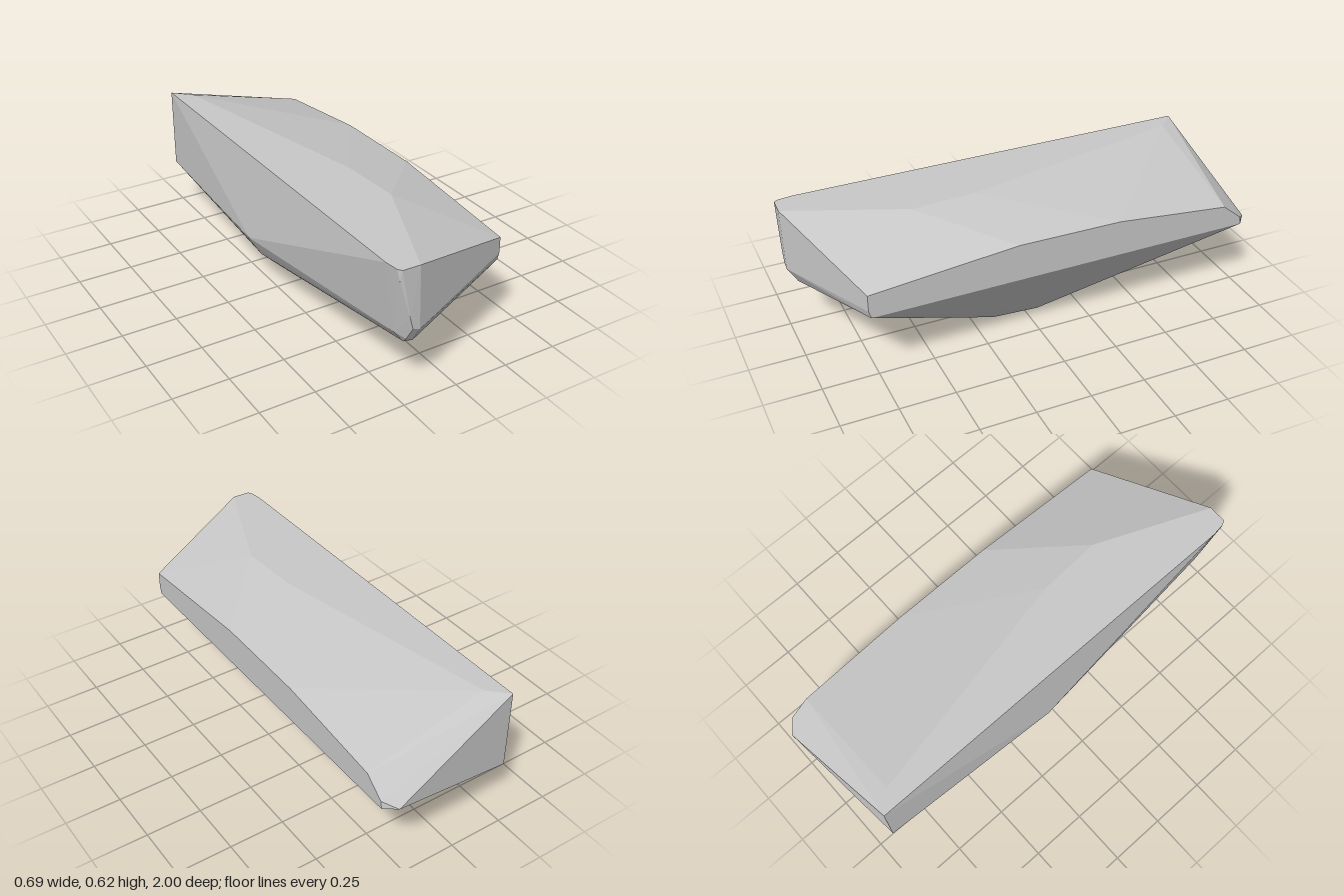
import * as THREE from 'three';
import { ConvexGeometry } from 'three/addons/geometries/ConvexGeometry.js';

export function createModel() {
  const group = new THREE.Group();
  group.name = 'rock';
  const stone = new THREE.MeshStandardMaterial({ color: 0xc8c8c8 });
  stone.name = 'pale grey stone';

  // Corners of the chiselled slab, grouped by the side they bound
  const top = [
    [-0.3, 0.62, -0.94], [-0.22, 0.62, -0.86], [0, 0.62, 0.2],
    [0.015, 0.62, 0.49], [-0.2, 0.62, 1], [-0.28, 0.62, 0.998],
    [-0.292, 0.62, 0.98], [-0.3, 0.62, 0.92],
  ];
  const cutSide = [
    [0.342, 0.475, 0.8], [0.342, 0.537, 0.14], [0.342, 0.532, -0.33],
    [0.342, 0.475, -0.86], [0.342, 0.4, -0.95], [0.342, 0.365, -0.955],
    [0.342, 0.365, 0.79], [0.342, 0.4, 0.8],
  ];
  const front = [
    [-0.284, 0.57, 0.99], [-0.237, 0.4, 0.999], [-0.222, 0.345, 0.998],
    [-0.19, 0.335, 0.998], [-0.225, 0.28, 0.96], [-0.19, 0.26, 0.955],
    [-0.19, 0.247, 0.932], [-0.215, 0.247, 0.93],
    [-0.255, 0.3, 0.92],
  ];
  const back = [[-0.3, 0.25, -0.94], [0.29, 0.37, -1]];
  // Rounded belly, running from the keel up to the bulging side
  const belly = [
    [0.096, 0.015, 0.16], [0.096, 0.002, -0.06],
    [-0.03, 0.028, 0.12], [-0.03, 0.018, -0.06],
    [-0.11, 0.046, 0.06], [-0.11, 0.039, -0.06],
    [-0.22, 0.083, -0.06], [-0.29, 0.15, -0.07],
    [-0.315, 0.19, -0.08], [-0.345, 0.245, -0.08],
  ];

  const points = [...top, ...cutSide, ...front, ...back, ...belly]
    .map((p) => new THREE.Vector3(...p));
  const slab = new THREE.Mesh(new ConvexGeometry(points), stone);
  slab.name = 'rockSlab';
  group.add(slab);
  return group;
}
